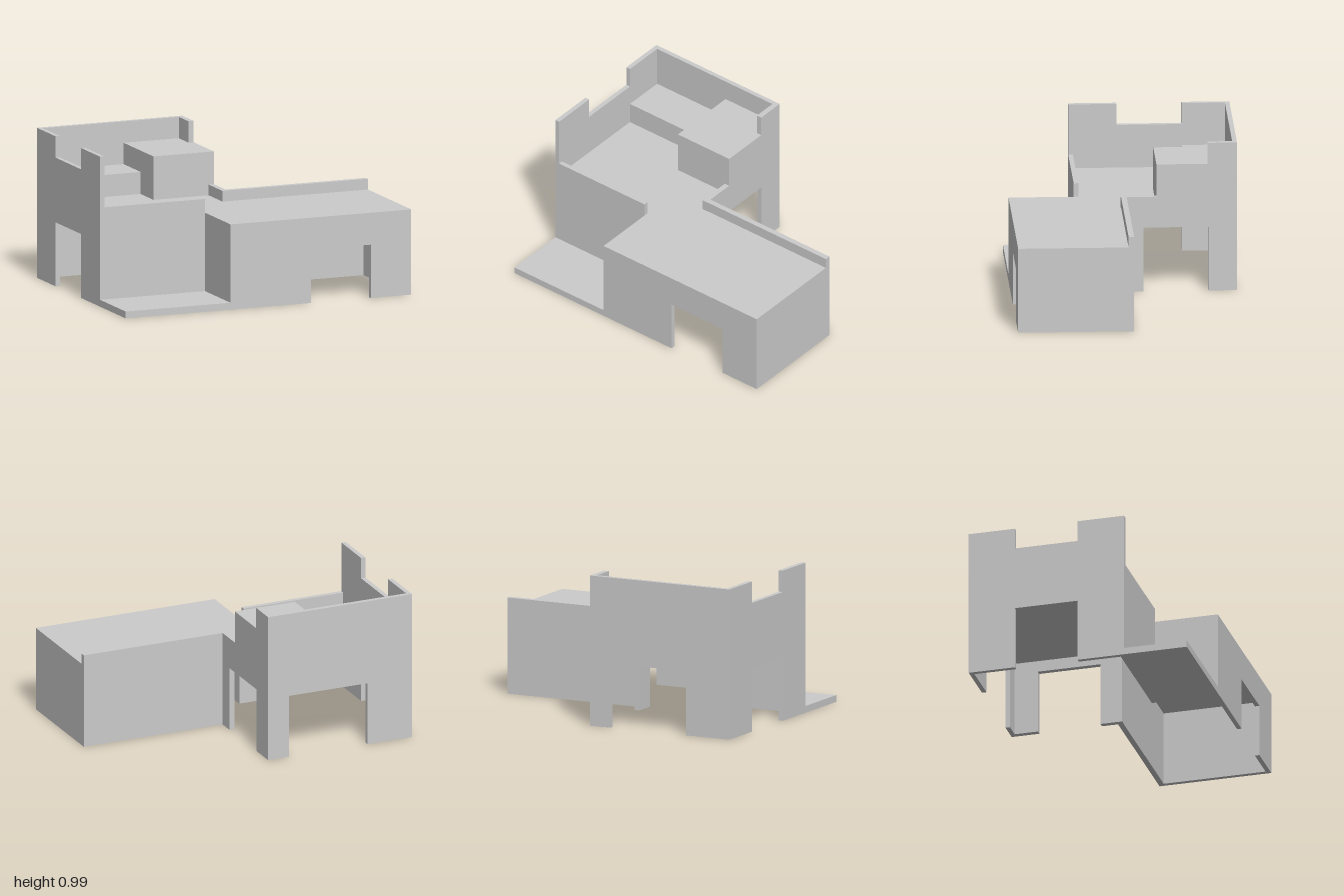
import * as THREE from 'three';

const material = new THREE.MeshStandardMaterial({ color: 0xcccccc, flatShading: true });

export function createModel() {
  const model = new THREE.Group();
  model.name = 'building';

  const add = (name, geometry) => {
    const mesh = new THREE.Mesh(geometry, material);
    mesh.name = name;
    model.add(mesh);
    return mesh;
  };

  // Box given by its lower and upper limits on each axis
  const block = (name, x0, x1, y0, y1, z0, z1) =>
    add(name, new THREE.BoxGeometry(x1 - x0, y1 - y0, z1 - z0))
      .position.set((x0 + x1) / 2, (y0 + y1) / 2, (z0 + z1) / 2);

  const extrude = (points, depth) => new THREE.ExtrudeGeometry(
    new THREE.Shape(points.map(([x, y]) => new THREE.Vector2(x, y))),
    { depth, bevelEnabled: false });

  // Wall across x, drawn in (x, y)
  const crossWall = (name, points, z0, z1) =>
    add(name, extrude(points, z1 - z0).translate(0, 0, z0));

  // Wall along z, drawn in (z, y)
  const sideWall = (name, points, x0, x1) =>
    add(name, extrude(points, x1 - x0).rotateY(-Math.PI / 2).translate(x1, 0, 0));

  // Corners of a doorway cut up from the ground
  const doorway = (a, b, height) => [[a, 0], [a, height], [b, height], [b, 0]];

  // Tall rear part: notched side walls and back wall, each with a doorway
  sideWall('tallOuterWall', [
    [-0.73, 0], ...doorway(-0.42, 0, 0.42), [0.31, 0],
    [0.31, 0.985], [0, 0.985], [0, 0.845], [-0.42, 0.845], [-0.42, 0.985], [-0.73, 0.985],
  ], -1, -0.97);
  sideWall('tallInnerWall', [
    [-0.73, 0], ...doorway(-0.545, -0.125, 0.425), [0.02, 0],
    [0.02, 0.63], [-0.21, 0.63], [-0.21, 0.845], [-0.54, 0.845], [-0.54, 0.985], [-0.73, 0.985],
  ], -0.018, 0.018);
  crossWall('backWall', [
    [-0.97, 0], ...doorway(-0.685, -0.13, 0.42), [-0.018, 0],
    [-0.018, 0.985], [-0.97, 0.985],
  ], -0.73, -0.70);

  // Raised blocks on the upper floor
  block('raisedBlock', -0.405, -0.018, 0.56, 0.845, -0.70, -0.21);
  block('lowLedge', -0.97, -0.405, 0.56, 0.705, -0.70, -0.42);

  // Continuous upper floor over both parts, hollow below
  add('deck', extrude([
    [-0.97, -0.70], [-0.018, -0.70], [-0.018, 0.018], [0.97, 0.018],
    [0.97, 0.70], [-0.235, 0.70], [-0.235, 0.28], [-0.97, 0.28],
  ], 0.06).rotateX(Math.PI / 2).translate(0, 0.56, 0));

  // Low wing: front with doorway, ends, and rear parapet
  crossWall('wingFrontWall', [
    [-0.265, 0], ...doorway(0.297, 0.717, 0.35), [1, 0], [1, 0.56], [-0.265, 0.56],
  ], 0.70, 0.73);
  block('wingEndWall', 0.97, 1, 0, 0.56, 0.018, 0.70);
  block('wingInnerEndWall', -0.265, -0.235, 0, 0.56, 0.28, 0.70);
  block('wingParapetWall', 0.018, 1, 0, 0.63, -0.018, 0.018);

  // Entrance corner: recessed wall and ground slab
  block('entranceWall', -0.97, -0.265, 0, 0.65, 0.28, 0.31);
  block('groundSlab', -1, -0.265, 0, 0.045, 0.31, 0.73);

  return model;
}
